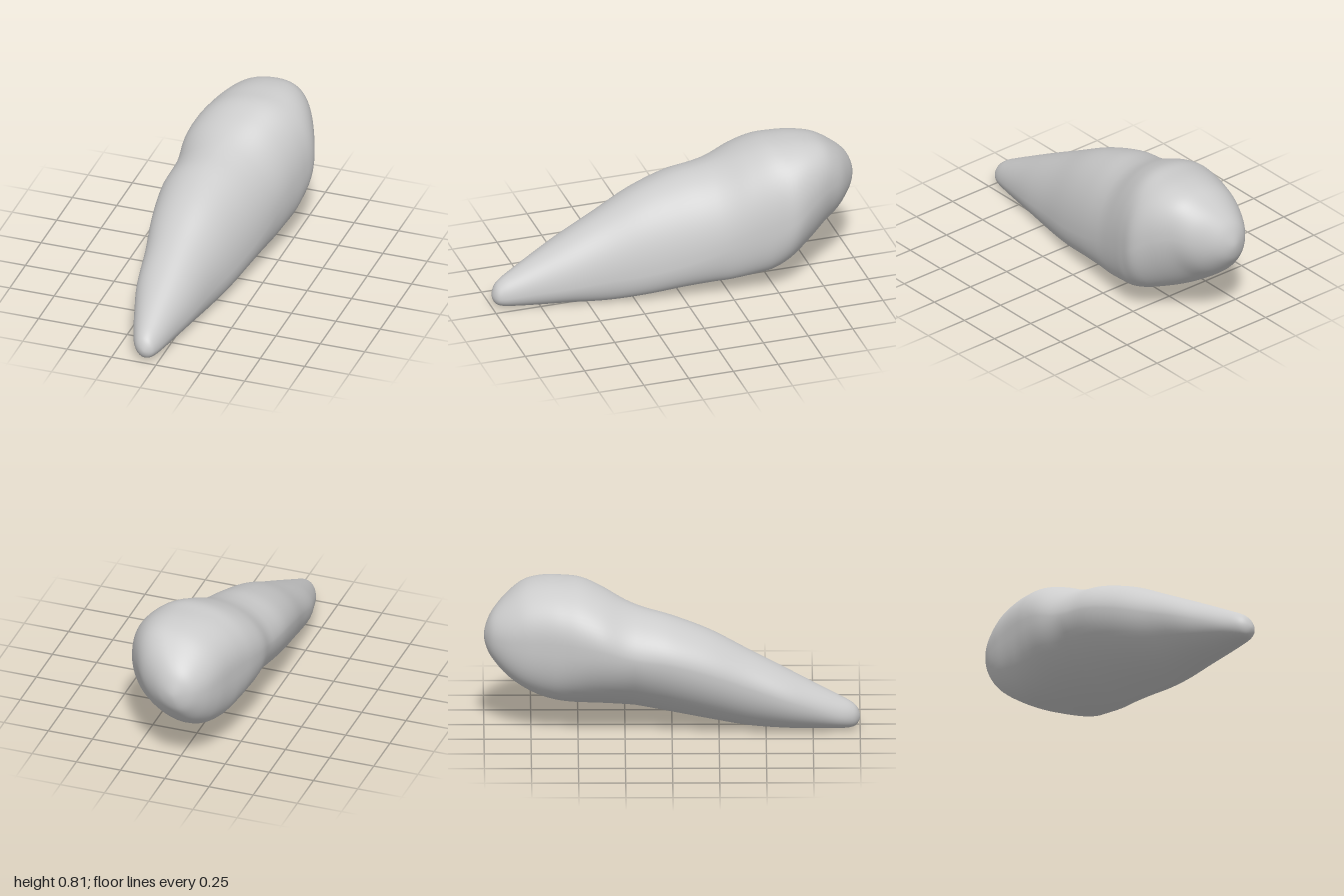
import * as THREE from 'three';
import { mergeVertices } from 'three/addons/utils/BufferGeometryUtils.js';

// Cross-sections from root tip to biting edge:
// [z, xTop, yTop, xRight, yRight, xBottom, yBottom, xLeft, yLeft]
const root = [
  [1.00, -0.07, 0.07, -0.07, 0.07, -0.07, 0.07, -0.07, 0.07],
  [0.985, -0.075, 0.12, -0.03, 0.07, -0.07, 0.03, -0.11, 0.08],
  [0.95, -0.08, 0.155, -0.01, 0.07, -0.07, 0.012, -0.14, 0.085],
  [0.88, -0.085, 0.195, 0.01, 0.08, -0.06, 0.006, -0.17, 0.10],
  [0.75, -0.09, 0.265, 0.04, 0.10, -0.04, 0.003, -0.21, 0.15],
  [0.60, -0.09, 0.345, 0.075, 0.12, -0.02, 0.002, -0.25, 0.21],
  [0.40, -0.09, 0.45, 0.115, 0.15, 0.03, 0.005, -0.275, 0.29],
  [0.20, -0.085, 0.555, 0.165, 0.18, 0.08, 0.03, -0.31, 0.37],
  [0.00, -0.08, 0.63, 0.21, 0.23, 0.11, 0.06, -0.33, 0.43],
  [-0.15, -0.06, 0.668, 0.24, 0.28, 0.14, 0.08, -0.325, 0.45],
];
const crown = [
  [-0.25, -0.04, 0.703, 0.26, 0.32, 0.16, 0.09, -0.322, 0.47],
  [-0.37, 0.00, 0.762, 0.29, 0.37, 0.16, 0.105, -0.333, 0.51],
  [-0.48, 0.03, 0.803, 0.318, 0.41, 0.14, 0.118, -0.32, 0.53],
  [-0.58, 0.04, 0.81, 0.333, 0.45, 0.08, 0.142, -0.295, 0.54],
  [-0.69, 0.05, 0.808, 0.295, 0.53, 0.01, 0.182, -0.265, 0.54],
  [-0.79, 0.05, 0.785, 0.24, 0.57, -0.04, 0.24, -0.237, 0.53],
  [-0.88, 0.02, 0.725, 0.175, 0.56, -0.06, 0.31, -0.20, 0.52],
  [-0.95, -0.02, 0.655, 0.085, 0.54, -0.06, 0.39, -0.15, 0.52],
  [-0.985, -0.035, 0.59, 0.02, 0.53, -0.05, 0.45, -0.095, 0.52],
  [-1.00, -0.04, 0.52, -0.04, 0.52, -0.04, 0.52, -0.04, 0.52],
];

// Squareness of each quarter along z (2 is an ellipse):
// [z, topRight, bottomRight, bottomLeft, topLeft]
const squareness = [
  [1.00, 2.0, 2.0, 2.0, 2.0],
  [0.20, 2.0, 2.0, 1.95, 1.95],
  [-0.20, 2.0, 2.1, 1.8, 1.85],
  [-0.45, 2.15, 2.3, 2.2, 2.1],
  [-0.62, 2.3, 1.95, 2.6, 2.25],
  [-0.80, 2.4, 1.8, 2.5, 2.25],
  [-1.00, 2.0, 2.0, 2.0, 2.0],
];

function squarenessAt(z) {
  const k = Math.max(1, squareness.findIndex((row) => row[0] <= z));
  const a = squareness[k - 1], b = squareness[k];
  const t = THREE.MathUtils.clamp((z - a[0]) / (b[0] - a[0]), 0, 1);
  return a.slice(1).map((v, i) => THREE.MathUtils.lerp(v, b[i + 1], t));
}

// Smooth interpolation; reflecting past each end keeps both tips round
function sectionAt(list, u) {
  const last = list.length - 1;
  const i = Math.min(Math.floor(u), last - 1), t = u - i;
  const reflect = (end, next) => next.map((v, k) => (k === 0 ? v : 2 * end[k] - v));
  const before = i === 0 ? reflect(list[0], list[1]) : list[i - 1];
  const after = i + 1 === last ? reflect(list[last], list[last - 1]) : list[i + 2];
  return list[i].map((a, k) => {
    const b = list[i + 1][k], m0 = (b - before[k]) / 2, m1 = (after[k] - a) / 2;
    return a + m0 * t + (3 * (b - a) - 2 * m0 - m1) * t * t + (2 * (a - b) + m0 + m1) * t * t * t;
  });
}

// Four rounded quarters join the top, right, bottom and left points
function ringPoint(s, n, angle) {
  const [z, xt, yt, xr, yr, xb, yb, xl, yl] = s;
  const sn = Math.sin(angle), cs = Math.cos(angle);
  const right = sn >= 0, top = cs >= 0;
  const [sx, sy] = right ? [xr, yr] : [xl, yl];
  const [vx, vy] = top ? [xt, yt] : [xb, yb];
  const power = 2 / (right ? (top ? n[0] : n[1]) : (top ? n[3] : n[2]));
  const a = Math.abs(sn) ** power, c = Math.abs(cs) ** power;
  return [vx + (sx - vx) * a, sy + (vy - sy) * c, z];
}

function loft(list, perSection, sides) {
  const pos = [], index = [], rows = (list.length - 1) * perSection;
  for (let i = 0; i <= rows; i++) {
    const s = sectionAt(list, i / perSection), n = squarenessAt(s[0]);
    for (let j = 0; j < sides; j++) pos.push(...ringPoint(s, n, (j / sides) * Math.PI * 2));
  }
  for (let i = 0; i < rows; i++) {
    for (let j = 0; j < sides; j++) {
      const a = i * sides + j, b = i * sides + ((j + 1) % sides), c = a + sides, d = b + sides;
      // the first and last rings shrink to a point, so they need one triangle per side
      if (i === 0) index.push(a, d, c);
      else index.push(a, b, c);
      if (i > 0 && i < rows - 1) index.push(b, d, c);
    }
  }
  const g = new THREE.BufferGeometry();
  g.setAttribute('position', new THREE.Float32BufferAttribute(pos, 3));
  g.setIndex(index);
  const welded = mergeVertices(g, 1e-5);
  welded.computeVertexNormals();
  return welded;
}

export function createModel() {
  const group = new THREE.Group();
  group.name = 'tooth';
  const enamel = new THREE.MeshStandardMaterial({ color: 0xcccccc });
  enamel.name = 'light grey';

  // Root and crown are one continuous skin
  const body = new THREE.Mesh(loft([...root, ...crown], 5, 64), enamel);
  body.name = 'rootAndCrown';
  group.add(body);
  return group;
}
